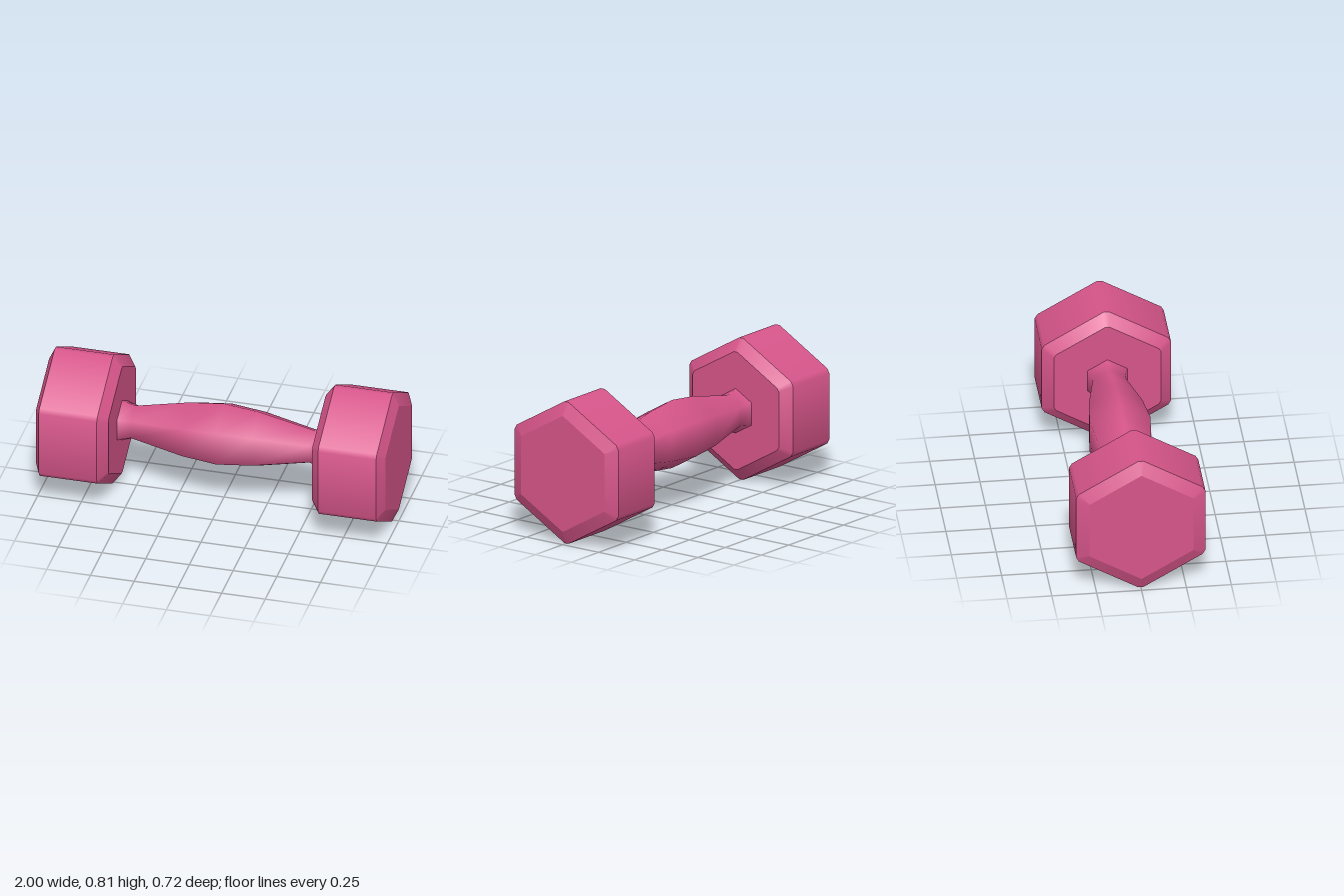
import * as THREE from 'three';
import { mergeGeometries } from 'three/addons/utils/BufferGeometryUtils.js';

const CENTER_Y = 0.408;

// One band of a hexagonal loft along x; every corner is cut by a small flat.
// Each ring is [x, corner radius, half width of the corner flat].
function hexBand([x0, r0, w0], [x1, r1, w1]) {
  const positions = [], normals = [], index = [];
  const axial = (r0 - r1) * 0.866, radial = x1 - x0;
  for (let i = 0; i <= 12; i++) {
    const corner = Math.floor(i / 2) * Math.PI / 3;
    const side = i % 2 ? 1 : -1;
    const c = Math.cos(corner), s = Math.sin(corner);
    const a = corner + side * Math.PI / 12; // softened normal at the corner
    const n = new THREE.Vector3(axial, radial * Math.cos(a), radial * Math.sin(a)).normalize();
    for (const [x, r, w] of [[x0, r0, w0], [x1, r1, w1]]) {
      const d = r - w * 0.577;
      positions.push(x, d * c - side * w * s, d * s + side * w * c);
      normals.push(n.x, n.y, n.z);
    }
    if (i < 12) {
      const k = i * 2;
      index.push(k, k + 2, k + 3, k, k + 3, k + 1);
    }
  }
  const g = new THREE.BufferGeometry();
  g.setAttribute('position', new THREE.Float32BufferAttribute(positions, 3));
  g.setAttribute('normal', new THREE.Float32BufferAttribute(normals, 3));
  g.setIndex(index);
  return g;
}

export function createModel() {
  const model = new THREE.Group();
  model.name = 'dumbbell';
  const pink = new THREE.MeshStandardMaterial({ color: 0xd6558a });
  pink.name = 'pink';

  // Hexagonal weight: inner face, inner bevel, sides, outer bevel, outer face
  const rings = [
    [0.583, 0, 0], [0.583, 0.345, 0.012], [0.633, 0.4157, 0.015],
    [0.965, 0.4157, 0.015], [1, 0.334, 0.001], [1, 0, 0],
  ];
  const headGeometry = mergeGeometries(rings.slice(1).map((ring, i) => hexBand(rings[i], ring)));
  for (const [name, turn] of [['leftWeight', 0], ['rightWeight', Math.PI]]) {
    const weight = new THREE.Mesh(headGeometry, pink);
    weight.name = name;
    weight.rotation.y = turn;
    weight.position.y = CENTER_Y;
    model.add(weight);
  }

  // Six-sided grip, swelling in the middle and flaring at the weights
  const half = [[0, 0.196], [0.2, 0.173], [0.51, 0.104], [0.59, 0.13]];
  const profile = [
    ...half.slice(1).reverse().map(([x, r]) => new THREE.Vector2(r, -x)),
    ...half.map(([x, r]) => new THREE.Vector2(r, x)),
  ];
  const gripGeometry = new THREE.LatheGeometry(profile, 6, Math.PI / 2);
  gripGeometry.rotateZ(-Math.PI / 2);
  const grip = new THREE.Mesh(gripGeometry, pink);
  grip.name = 'grip';
  grip.position.y = CENTER_Y;
  model.add(grip);

  return model;
}
